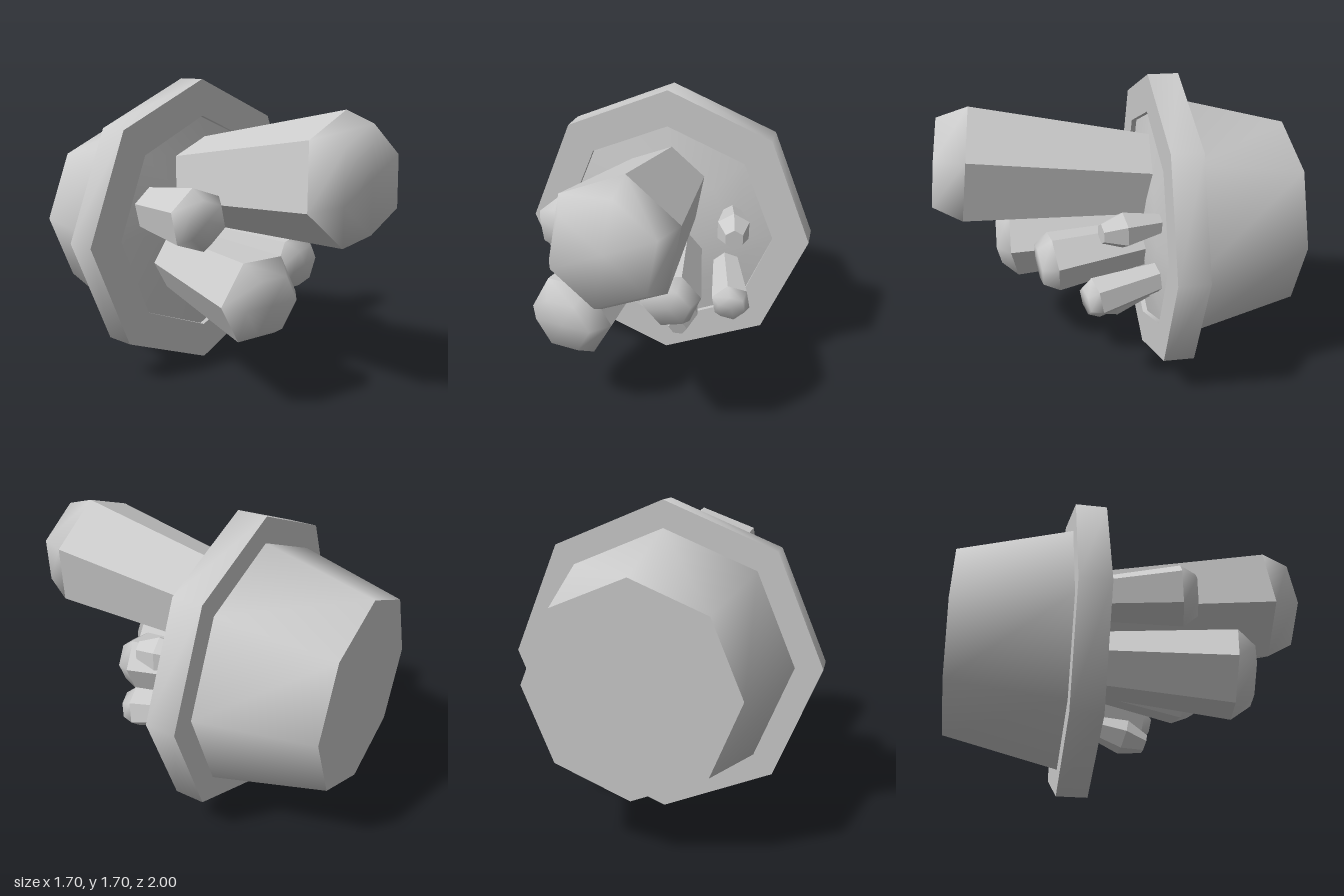
import * as THREE from 'three';
import { toCreasedNormals } from 'three/addons/utils/BufferGeometryUtils.js';

const material = new THREE.MeshStandardMaterial({ color: 0xcccccc, side: THREE.DoubleSide });
const CENTRE_Y = 0.855;
const DEG = Math.PI / 180;

// Faceted turned shape running along +z; profile is [radius, z] from back to front
function turned(name, profile, sides, crease, roll = 0) {
  const points = profile.map(([r, z]) => new THREE.Vector2(r, z));
  const geometry = new THREE.LatheGeometry(points, sides);
  geometry.rotateX(Math.PI / 2).rotateZ(roll * DEG);
  const mesh = new THREE.Mesh(toCreasedNormals(geometry, crease), material);
  mesh.name = name;
  return mesh;
}

// Six-sided crystal: flaring shaft, bevelled shoulder and flat cap
function crystal({ name, base, tip, rBase, rMax, rCap, bevel, roll, softTip }) {
  const start = new THREE.Vector3(...base);
  const axis = new THREE.Vector3(...tip).sub(start);
  const length = axis.length();
  const sunk = -0.1; // continues below the soil
  const rSunk = rBase + (rMax - rBase) * sunk / (length - bevel);
  const group = new THREE.Group();
  group.name = name;
  group.add(
    turned('shaft', [[0, sunk], [rSunk, sunk], [rMax, length - bevel]], 6, 1.0, roll),
    turned('tip', [[rMax, length - bevel], [rCap, length], [0, length]], 6, softTip ? 1.3 : 0.6, roll)
  );
  group.position.copy(start);
  group.quaternion.setFromUnitVectors(new THREE.Vector3(0, 0, 1), axis.normalize());
  return group;
}

export function createModel() {
  const model = new THREE.Group();
  model.name = 'crystalPot';

  // Octagonal pot lying on its side, opening towards the front
  const pot = new THREE.Group();
  pot.name = 'pot';
  pot.position.y = CENTRE_Y;
  pot.add(
    turned('potBody', [[0, -1], [0.545, -1], [0.705, -0.375]], 8, 1.0),
    turned('potRim', [[0.62, -0.38], [0.85, -0.38], [0.85, -0.21], [0.64, -0.21], [0.64, -0.34]], 8, 1.0),
    // Slightly mounded soil
    turned('soil', [[0.645, -0.24], [0.4, -0.195], [0, -0.13]], 8, 1.0)
  );
  model.add(pot);

  // Crystals, placed by the centres of their base and cap
  const crystals = [
    { name: 'largeCrystal', base: [-0.015, 1.12, -0.2], tip: [-0.02, 1.252, 0.966],
      rBase: 0.255, rMax: 0.352, rCap: 0.275, bevel: 0.165, roll: -9, softTip: true },
    { name: 'lowerLeftCrystal', base: [-0.22, 0.69, -0.2], tip: [-0.375, 0.615, 0.63],
      rBase: 0.18, rMax: 0.247, rCap: 0.165, bevel: 0.1, roll: 30, softTip: true },
    { name: 'upperLeftCrystal', base: [-0.4, 1.0, -0.2], tip: [-0.5, 1.015, 0.3],
      rBase: 0.13, rMax: 0.175, rCap: 0.12, bevel: 0.08, roll: 10, softTip: true },
    { name: 'middleCrystal', base: [0.09, 0.745, -0.2], tip: [0.165, 0.68, 0.43],
      rBase: 0.13, rMax: 0.172, rCap: 0.12, bevel: 0.085, roll: -22, softTip: true },
    { name: 'lowerRightCrystal', base: [0.375, 0.655, -0.2], tip: [0.475, 0.598, 0.205],
      rBase: 0.085, rMax: 0.115, rCap: 0.08, bevel: 0.06, roll: 10, softTip: true },
    { name: 'upperRightCrystal', base: [0.395, 0.99, -0.2], tip: [0.46, 0.985, 0.115],
      rBase: 0.06, rMax: 0.102, rCap: 0.055, bevel: 0.12, roll: 0, softTip: false },
    { name: 'bottomCrystal', base: [0.135, 0.465, -0.2], tip: [0.15, 0.375, 0.13],
      rBase: 0.06, rMax: 0.1, rCap: 0.055, bevel: 0.13, roll: 28, softTip: false }
  ];
  crystals.forEach((spec) => model.add(crystal(spec)));
  return model;
}
